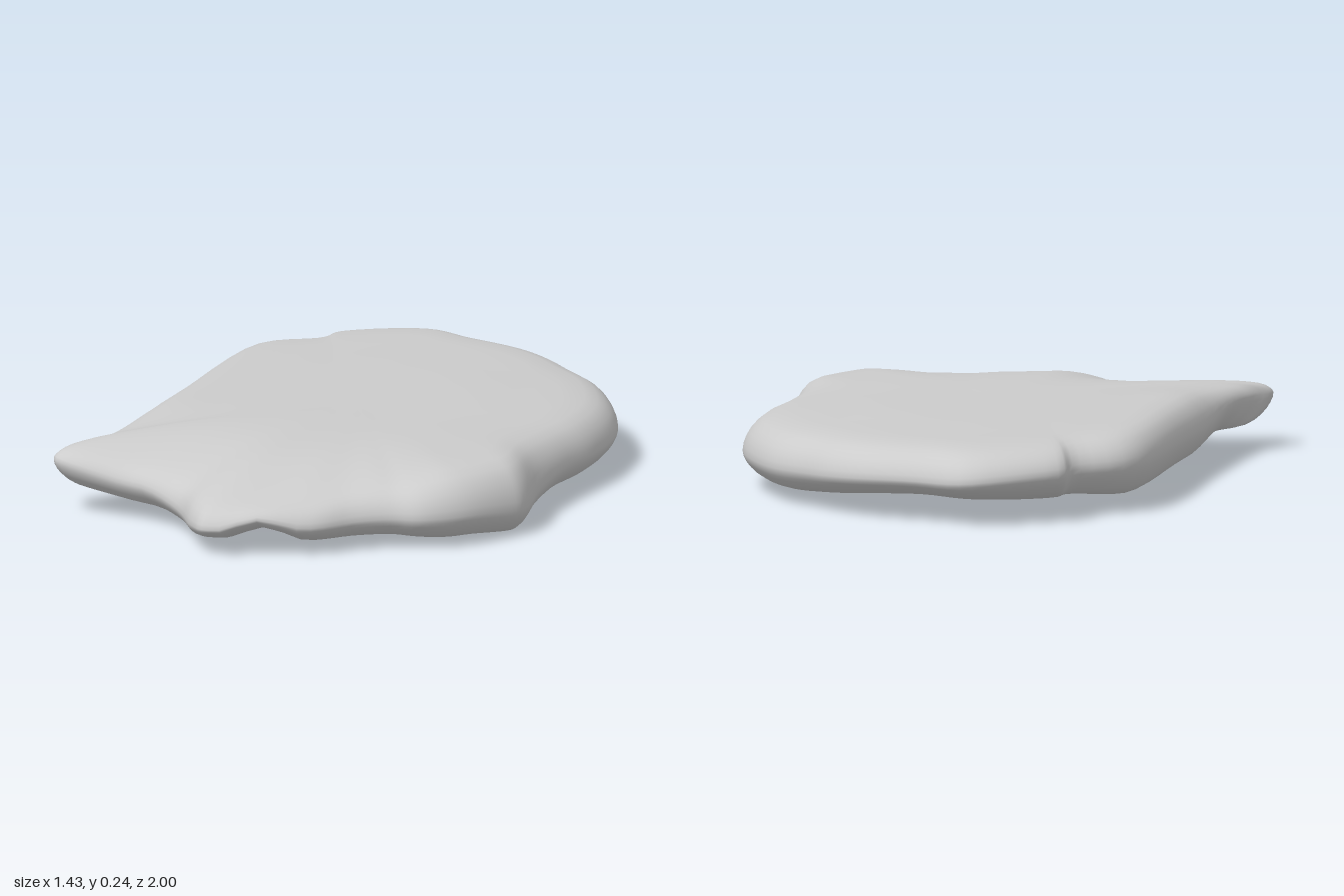
import * as THREE from 'three';
import { mergeVertices } from 'three/addons/utils/BufferGeometryUtils.js';

// Slab outline in plan, clockwise from the back tip: x, z
const OUTLINE = [
  [-0.16, -1.0], [0.02, -0.955], [0.2, -0.91], [0.32, -0.85], [0.42, -0.77], [0.55, -0.66],
  [0.65, -0.5], [0.7, -0.35], [0.71, -0.17], [0.69, 0], [0.68, 0.2], [0.705, 0.37],
  [0.68, 0.46], [0.6, 0.6], [0.5, 0.69], [0.4, 0.72], [0.3, 0.78], [0.18, 0.89],
  [-0.07, 0.99], [-0.16, 0.95], [-0.27, 0.8], [-0.44, 0.73], [-0.67, 0.72], [-0.715, 0.67],
  [-0.67, 0.59], [-0.63, 0.45], [-0.61, 0], [-0.59, -0.55], [-0.43, -0.75], [-0.39, -0.86],
];
// Edge heights by compass angle from the back: degrees, rim, underside edge, top shoulder
const HEIGHTS = [
  [0, 0.13, 0.08, 0.22], [40, 0.11, 0.04, 0.21], [90, 0.11, 0.04, 0.21],
  [118, 0.08, 0, 0.215], [135, 0.1, 0.02, 0.215], [151, 0.1, 0.035, 0.19],
  [168, 0.09, 0.035, 0.165], [177, 0.12, 0.08, 0.16], [184, 0.085, 0.045, 0.16],
  [195, 0.08, 0.02, 0.165], [211, 0.12, 0.05, 0.18], [227, 0.17, 0.085, 0.21],
  [252, 0.14, 0.05, 0.23], [313, 0.15, 0.05, 0.235], [335, 0.15, 0.07, 0.225],
  [360, 0.13, 0.08, 0.22],
];
const AROUND = 144;
const ACROSS = 28;

// Smoothly blended [rim, under, top] heights in the direction of an outline point
function heightsAt(x, z) {
  const angle = (THREE.MathUtils.radToDeg(Math.atan2(x, -z)) + 360) % 360;
  const next = HEIGHTS.findIndex(([degrees]) => degrees > angle);
  const from = HEIGHTS[next - 1];
  const to = HEIGHTS[next];
  const t = THREE.MathUtils.smoothstep(angle, from[0], to[0]);
  return [1, 2, 3].map((k) => THREE.MathUtils.lerp(from[k], to[k], t));
}

function slabGeometry() {
  const outline = new THREE.CatmullRomCurve3(
    OUTLINE.map(([x, z]) => new THREE.Vector3(x, 0, z)), true, 'catmullrom', 0.5);
  const positions = [];
  const index = [];

  // Each section runs from the underside centre, around the rim, to the top centre
  for (let i = 0; i < AROUND; i++) {
    const edge = outline.getPoint(i / AROUND);
    const [rim, under, top] = heightsAt(edge.x, edge.z);
    const section = new THREE.CatmullRomCurve3([
      [0, 0.05], [0.45, 0.05], [0.8, under * 0.6 + 0.02], [0.92, under],
      [0.98, (under + rim) / 2], [1, rim], [0.975, rim * 0.45 + top * 0.55],
      [0.9, top], [0.65, top * 0.25 + 0.178], [0.4, 0.238], [0, 0.236],
    ].map(([f, y]) => new THREE.Vector3(f, y, 0)));
    for (let j = 0; j <= ACROSS; j++) {
      const p = section.getPoint(j / ACROSS);
      const f = j === 0 || j === ACROSS ? 0 : p.x;
      positions.push(edge.x * f, Math.max(0, p.y), edge.z * f);
    }
  }

  // Skin neighbouring sections, skipping the collapsed triangles at both centres
  const row = ACROSS + 1;
  for (let i = 0; i < AROUND; i++) {
    for (let j = 0; j < ACROSS; j++) {
      const a = i * row + j;
      const b = ((i + 1) % AROUND) * row + j;
      if (j > 0) index.push(a, a + 1, b);
      if (j < ACROSS - 1) index.push(b, a + 1, b + 1);
    }
  }

  const geometry = new THREE.BufferGeometry();
  geometry.setAttribute('position', new THREE.Float32BufferAttribute(positions, 3));
  geometry.setIndex(index);
  const welded = mergeVertices(geometry, 1e-5);
  welded.computeVertexNormals();
  return welded;
}

export function createModel() {
  const group = new THREE.Group();
  group.name = 'flatStone';
  const slab = new THREE.Mesh(slabGeometry(), new THREE.MeshStandardMaterial({ color: 0xcccccc }));
  slab.name = 'stoneSlab';
  group.add(slab);
  return group;
}
